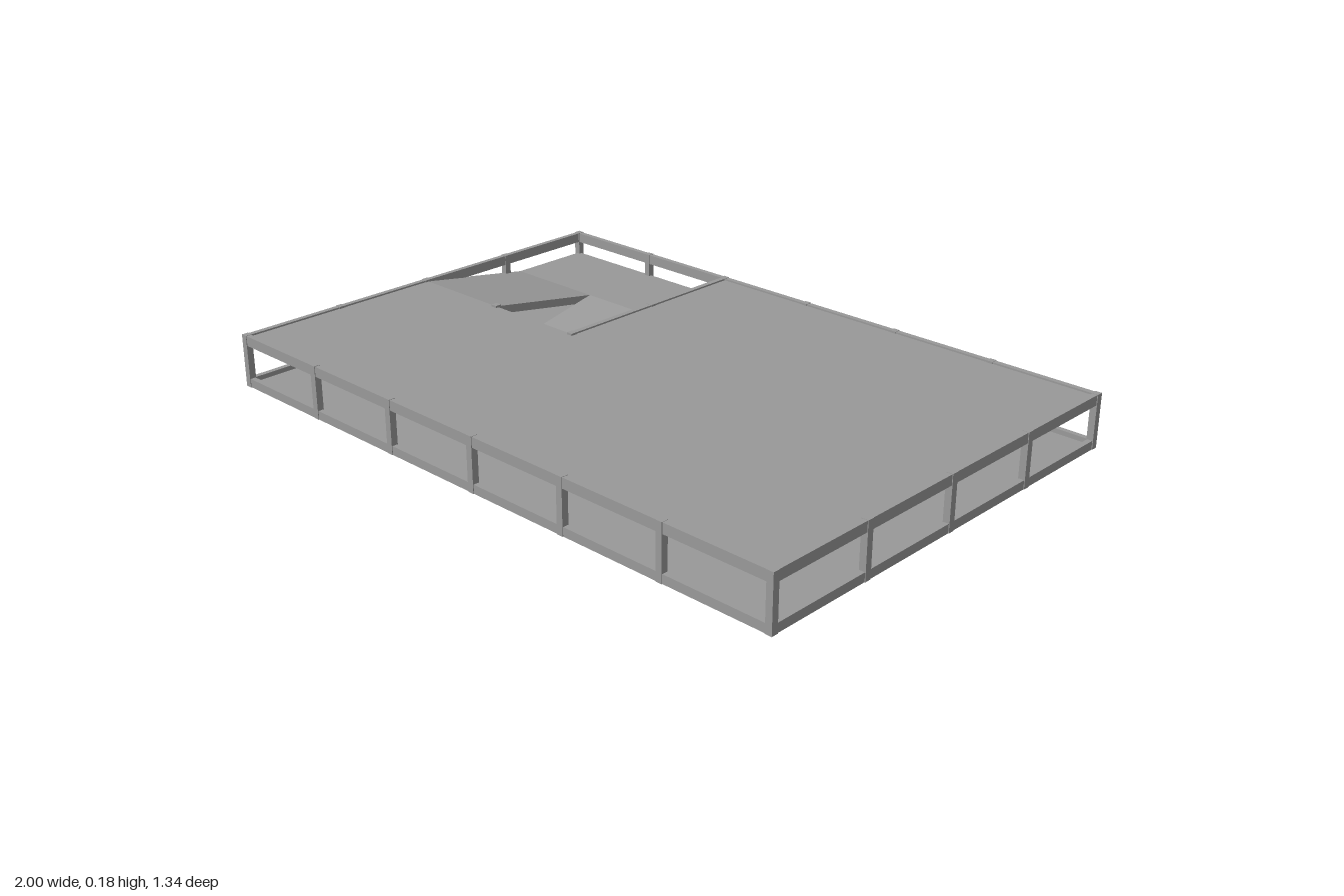
import * as THREE from 'three';

const concrete = new THREE.MeshStandardMaterial({ color: 0x999999 });
concrete.name = 'concrete grey';

const X = 0.99, Z = 0.66, BAY = 0.33; // column grid

export function createModel() {
  const model = new THREE.Group();
  model.name = 'parkingDeck';

  // Box given by its minimum and maximum corners
  function box(name, x0, x1, y0, y1, z0, z1) {
    const mesh = new THREE.Mesh(new THREE.BoxGeometry(x1 - x0, y1 - y0, z1 - z0), concrete);
    mesh.position.set((x0 + x1) / 2, (y0 + y1) / 2, (z0 + z1) / 2);
    mesh.name = name;
    model.add(mesh);
  }

  // Sloping slab between x0 and x1, from (zA, yA) up to (zB, yB) along its top
  function ramp(name, x0, x1, zA, yA, zB, yB, thick) {
    const shape = new THREE.Shape([
      new THREE.Vector2(-zA, yA), new THREE.Vector2(-zB, yB),
      new THREE.Vector2(-zB, yB - thick), new THREE.Vector2(-zA, yA - thick),
    ]);
    const geo = new THREE.ExtrudeGeometry(shape, { depth: x1 - x0, bevelEnabled: false });
    geo.rotateY(Math.PI / 2);
    geo.translate(x0, 0, 0);
    const mesh = new THREE.Mesh(geo, concrete);
    mesh.name = name;
    model.add(mesh);
  }

  // Columns
  const column = (x, z) => box('column', x - 0.01, x + 0.01, 0.02, 0.18, z - 0.01, z + 0.01);
  for (let i = -3; i <= 3; i++) for (const z of [-Z, Z]) column(i * BAY, z);
  for (let j = -1; j <= 1; j++) for (const x of [-X, X]) column(x, j * BAY);
  column(-BAY, 0);
  column(-BAY, -BAY);
  column(-2 * BAY, 0);

  // Edge beams, bottom and top
  const w = 0.008;
  for (const [y0, y1] of [[0.02, 0.046], [0.149, 0.179]]) {
    for (const z of [-Z, Z]) box('longBeam', -X - w, X + w, y0, y1, z - w, z + w);
    for (const x of [-X, X]) box('shortBeam', x - w, x + w, y0, y1, -Z + w, Z - w);
  }
  box('stairwellBeam', -BAY - w, -BAY + w, 0.149, 0.179, -Z + w, 0);

  // Floor, and roof deck with an open corner for the ramps
  box('floor', -X, X, 0.021, 0.032, -Z, Z);
  box('frontRoofDeck', -X, X, 0.153, 0.174, 0, Z);
  box('backRoofDeck', -BAY, X, 0.153, 0.174, -Z, 0);

  // Ramps and the landing between them
  const turn = -0.39, mid = 0.108;
  ramp('lowerRamp', -2 * BAY, -BAY, 0, 0.025, turn, mid, 0.025);
  ramp('upperRamp', -X, -2 * BAY, 0, 0.174, turn, mid, 0.025);
  box('landing', -X, -BAY, mid - 0.022, mid, -Z, turn);

  // Walls beside the ramps
  box('sideWall', -BAY - 0.004, -BAY + 0.004, 0.03, 0.16, -Z, 0);
  box('endWall', -X, -2 * BAY, 0.03, 0.16, -0.004, 0.004);

  return model;
}
